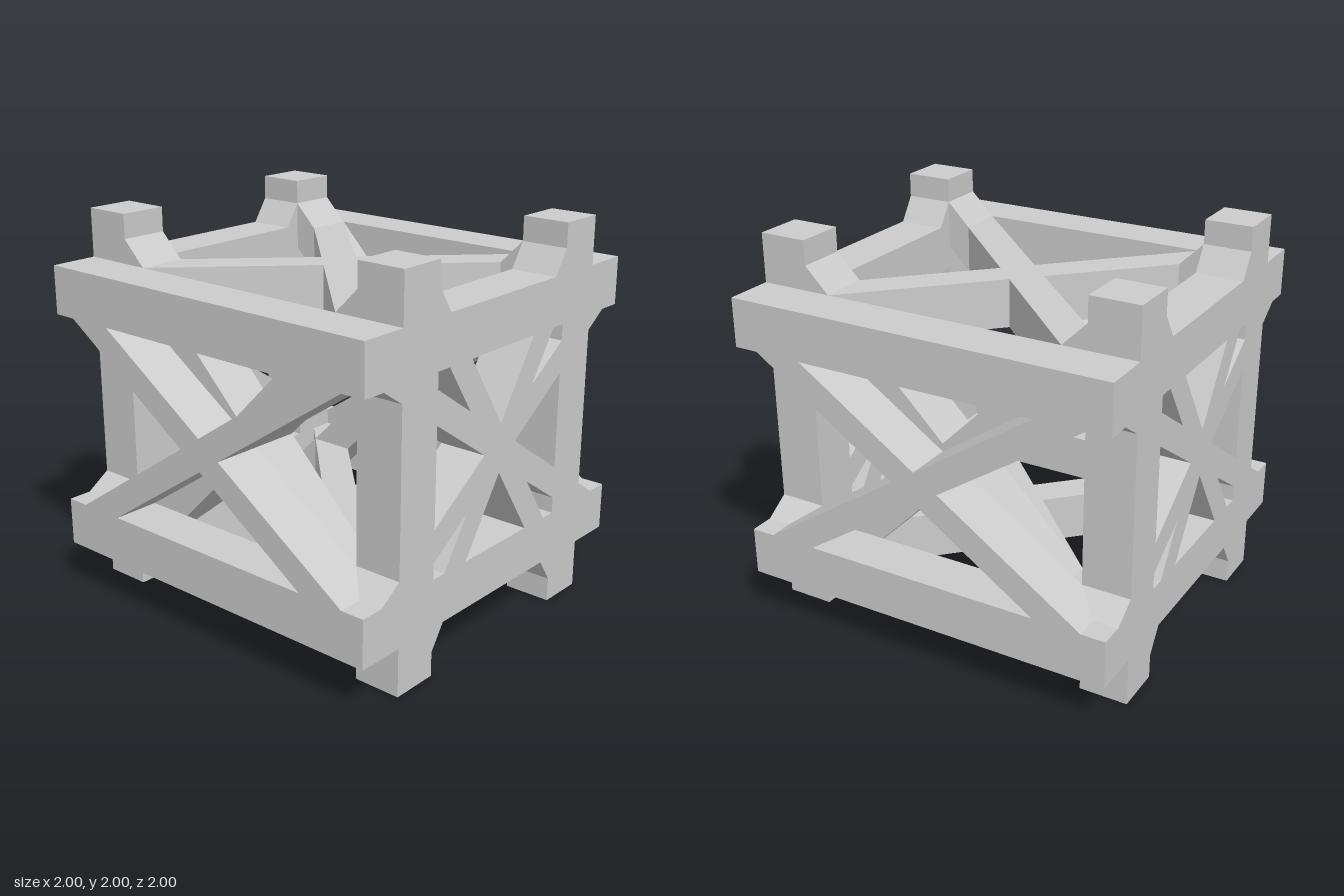
import * as THREE from 'three';

const T = 0.25; // thickness of every bar and brace
const AXIS = {
  x: new THREE.Vector3(1, 0, 0),
  y: new THREE.Vector3(0, 1, 0),
  z: new THREE.Vector3(0, 0, 1),
};

// Crossed pair of struts in the u-v plane, cut flat at v = +-end
function crossBrace(name, u, v, end, offset, material) {
  const normal = new THREE.Vector3().crossVectors(AXIS[u], AXIS[v]);
  const basis = new THREE.Matrix4().makeBasis(AXIS[u], AXIS[v], normal);
  const group = new THREE.Group();
  group.name = name;
  for (const s of [1, -1]) {
    const shape = new THREE.Shape([
      new THREE.Vector2(s * 0.75 - T / 2, end),
      new THREE.Vector2(s * 0.75 + T / 2, end),
      new THREE.Vector2(-s * 0.75 + T / 2, -end),
      new THREE.Vector2(-s * 0.75 - T / 2, -end),
    ]);
    const geometry = new THREE.ExtrudeGeometry(shape, { depth: T, bevelEnabled: false });
    geometry.translate(0, 0, -T / 2).applyMatrix4(basis);
    const strut = new THREE.Mesh(geometry, material);
    strut.name = 'strut';
    group.add(strut);
  }
  group.position.copy(normal).multiplyScalar(offset);
  return group;
}

export function createModel() {
  const grey = new THREE.MeshStandardMaterial({ color: 0xcccccc });
  grey.name = 'light grey';

  const model = new THREE.Group();
  model.name = 'crossBracedFrame';
  const frame = new THREE.Group(); // built around its own centre
  frame.name = 'frame';
  frame.position.y = 1;
  model.add(frame);

  function bar(name, w, h, d, x, y, z) {
    const mesh = new THREE.Mesh(new THREE.BoxGeometry(w, h, d), grey);
    mesh.name = name;
    mesh.position.set(x, y, z);
    frame.add(mesh);
  }

  // Posts and rails
  for (const a of [-1, 1]) {
    for (const b of [-1, 1]) {
      bar('post', T, 2, T, a * 0.875, 0, b * 0.625);
      bar('crossRail', 2, T, T, 0, a * 0.625, b * 0.875);
      bar('sideRail', T, T, 1.5, a * 0.875, b * 0.625, 0);
    }
  }

  // Braces, mirrored on opposite sides
  for (const s of [-1, 1]) {
    frame.add(
      crossBrace('outerFaceBrace', 'x', 'y', 0.5, s * 0.875, grey),
      crossBrace('postBrace', 'y', 'x', 0.75, s * 0.625, grey),
      crossBrace('levelBrace', 'x', 'z', 0.75, s * 0.625, grey),
      crossBrace('shallowSideBrace', 'z', 'y', 0.5, s * 0.875, grey),
      crossBrace('steepSideBrace', 'y', 'z', 0.5, s * 0.875, grey),
    );
  }
  return model;
}
